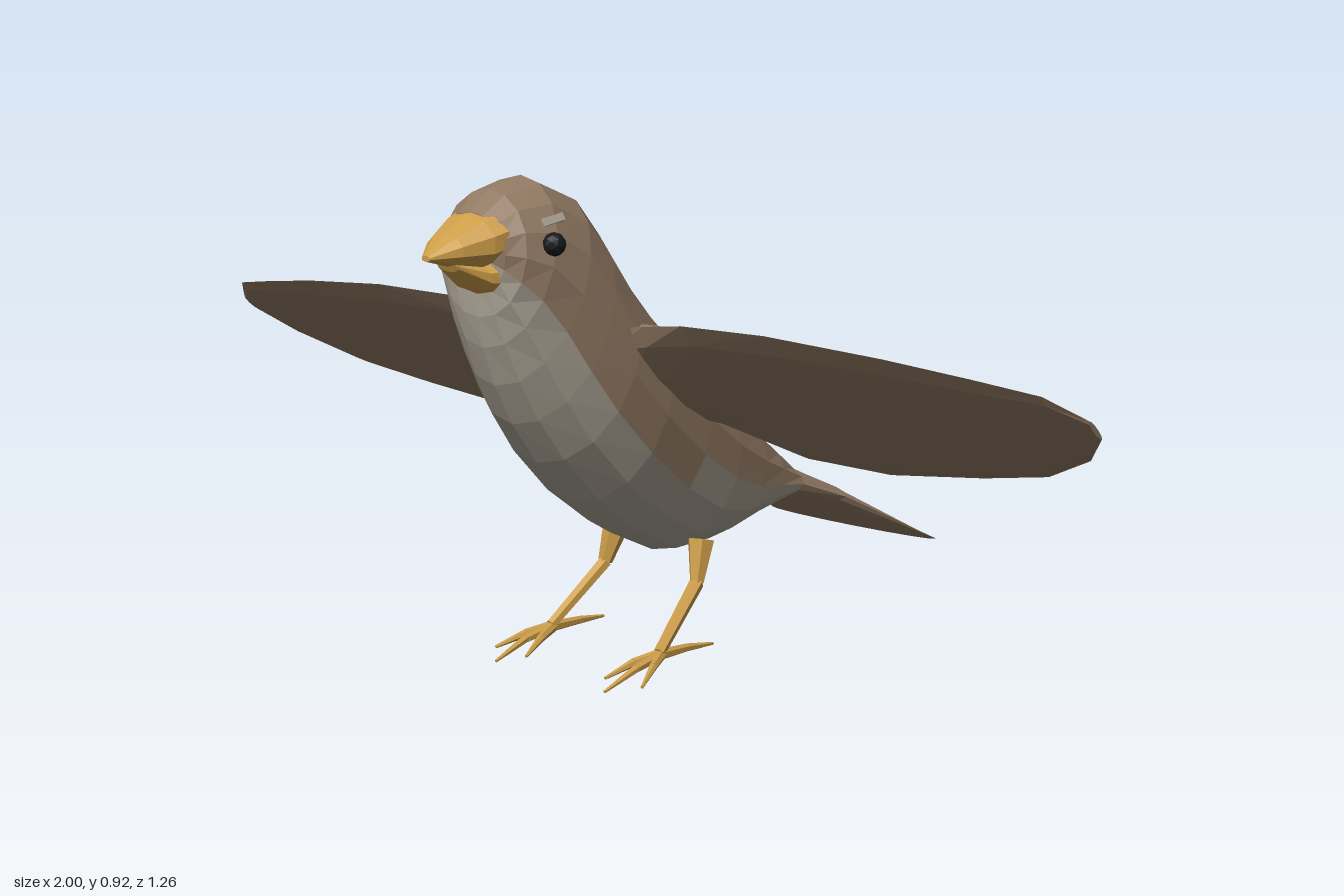
import * as THREE from 'three';

const mat = (name, color) => new THREE.MeshStandardMaterial({ name, color, flatShading: true });

// Closed skin over a list of rings; pick(row, column) chooses the part a face belongs to.
function loft(rings, pick = () => 0) {
  const parts = [];
  const n = rings[0].length;
  let volume = 0;
  const tri = (k, a, b, c) => {
    (parts[k] ??= []).push([a, b, c]);
    volume += a.dot(b.clone().cross(c));
  };
  for (let i = 0; i < rings.length - 1; i++) {
    for (let j = 0; j < n; j++) {
      const j2 = (j + 1) % n, k = pick(i, j);
      tri(k, rings[i][j], rings[i + 1][j], rings[i + 1][j2]);
      tri(k, rings[i][j], rings[i + 1][j2], rings[i][j2]);
    }
  }
  const cap = (ring, row, flip) => {
    const c = new THREE.Vector3();
    ring.forEach((p) => c.addScaledVector(p, 1 / n));
    for (let j = 0; j < n; j++) {
      const a = ring[j], b = ring[(j + 1) % n];
      flip ? tri(pick(row, j), c, b, a) : tri(pick(row, j), c, a, b);
    }
  };
  cap(rings[0], 0, false);
  cap(rings[rings.length - 1], rings.length - 2, true);
  return parts.map((tris) => {
    const pts = tris.flatMap(([a, b, c]) => (volume < 0 ? [a, c, b] : [a, b, c]));
    const g = new THREE.BufferGeometry().setFromPoints(pts);
    g.computeVertexNormals();
    return g;
  });
}

// Oval ring from a top point and a bottom point on the centre plane; column 0 starts at the bottom.
function oval([tz, ty, bz, by, w], sides) {
  return Array.from({ length: sides }, (_, j) => {
    const a = (j / sides) * Math.PI * 2, f = (1 - Math.cos(a)) / 2;
    return new THREE.Vector3(w * Math.sin(a), by + (ty - by) * f, bz + (tz - bz) * f);
  });
}

// Slanted wing section at distance x, from trailing z to leading z.
function wingRing([x, z0, z1, t], side) {
  const slope = 0.79, len = Math.hypot(1, slope), sides = 10;
  return Array.from({ length: sides }, (_, j) => {
    const a = (j / sides) * Math.PI * 2;
    const z = (z0 + z1) / 2 + ((z1 - z0) / 2) * Math.cos(a);
    const lift = t * Math.sin(a);
    return new THREE.Vector3(side * x, 0.68 - slope * (0.31 - z) + lift / len, z - (lift * slope) / len);
  });
}

export function createModel() {
  const brown = mat('brownFeathers', 0x917963);
  const pale = mat('paleBelly', 0xa9a193);
  const yellow = mat('yellowHorn', 0xcc9d49);
  const black = mat('blackEye', 0x17181c);

  const model = new THREE.Group();
  model.name = 'bird';
  const add = (parent, name, geometry, material) => {
    const m = new THREE.Mesh(geometry, material);
    m.name = name;
    parent.add(m);
    return m;
  };

  // Head, body and tail: top z, top y, bottom z, bottom y, half width
  const body = [
    [0.525, 0.872, 0.512, 0.735, 0.075],
    [0.48, 0.907, 0.51, 0.69, 0.102],
    [0.40, 0.925, 0.498, 0.635, 0.122],
    [0.31, 0.89, 0.472, 0.565, 0.137],
    [0.255, 0.825, 0.43, 0.49, 0.15],
    [0.20, 0.745, 0.37, 0.41, 0.162],
    [0.12, 0.66, 0.28, 0.32, 0.166],
    [0.0, 0.555, 0.17, 0.24, 0.16],
    [-0.1, 0.48, 0.05, 0.182, 0.148],
    [-0.2, 0.405, -0.06, 0.18, 0.13],
    [-0.26, 0.35, -0.17, 0.203, 0.114],
    [-0.32, 0.292, -0.29, 0.226, 0.1],
    [-0.44, 0.232, -0.39, 0.2, 0.128],
    [-0.622, 0.106, -0.628, 0.09, 0.215],
  ];
  const sides = 16;
  const isBelly = (i, j) => {
    const fromBottom = Math.min(j, sides - 1 - j);
    return i < 11 && fromBottom < (i < 7 ? 3 : 4) ? 1 : 0;
  };
  const [back, belly] = loft(body.map((s) => oval(s, sides)), isBelly);
  add(model, 'headBackAndTail', back, brown);
  add(model, 'throatAndBelly', belly, pale);

  // Beak
  const upper = [
    [0.515, 0.874, 0.5, 0.785, 0.08],
    [0.535, 0.868, 0.535, 0.775, 0.072],
    [0.585, 0.84, 0.585, 0.786, 0.045],
    [0.63, 0.808, 0.63, 0.798, 0.01],
  ];
  const lower = [
    [0.49, 0.8, 0.505, 0.728, 0.066],
    [0.53, 0.79, 0.525, 0.737, 0.055],
    [0.585, 0.795, 0.575, 0.775, 0.025],
  ];
  add(model, 'upperBeak', loft(upper.map((s) => oval(s, 10)))[0], yellow);
  add(model, 'lowerBeak', loft(lower.map((s) => oval(s, 10)))[0], yellow);

  // Wing sections: x, trailing z, leading z, half thickness
  const wing = [
    [0.09, 0.05, 0.27, 0.05],
    [0.18, 0.02, 0.29, 0.038],
    [0.28, -0.07, 0.308, 0.022],
    [0.46, -0.076, 0.312, 0.02],
    [0.68, -0.03, 0.292, 0.016],
    [0.83, 0.012, 0.27, 0.013],
    [0.945, 0.085, 0.25, 0.009],
    [1.0, 0.155, 0.2, 0.005],
  ];

  // Tapered bone between two points
  const limb = (parent, name, a, b, r0, r1) => {
    const p = new THREE.Vector3(...a), q = new THREE.Vector3(...b);
    const d = q.clone().sub(p);
    const m = add(parent, name, new THREE.CylinderGeometry(r1, r0, d.length(), 6), yellow);
    m.position.copy(p).add(q).multiplyScalar(0.5);
    m.quaternion.setFromUnitVectors(new THREE.Vector3(0, 1, 0), d.normalize());
  };

  for (const s of [1, -1]) {
    const label = s > 0 ? 'left' : 'right';
    add(model, label + 'Wing', loft(wing.map((w) => wingRing(w, s)))[0], brown);

    // Eye and pale brow
    add(model, label + 'Eye', new THREE.IcosahedronGeometry(0.021, 1), black)
      .position.set(s * 0.116, 0.818, 0.443);
    const brow = add(model, label + 'Brow', new THREE.BoxGeometry(0.008, 0.014, 0.045), pale);
    brow.position.set(s * 0.101, 0.857, 0.43);
    brow.rotation.set(0.2, s * -0.2, s * 0.5);

    // Leg and foot
    const leg = new THREE.Group();
    leg.name = label + 'Leg';
    model.add(leg);
    const knee = [s * 0.115, 0.138, 0.055], ankle = [s * 0.135, 0.038, 0.19];
    limb(leg, 'thigh', [s * 0.105, 0.215, 0.03], knee, 0.027, 0.014);
    limb(leg, 'shank', knee, ankle, 0.014, 0.011);
    const toes = [
      [[0.115, 0.028, 0.24], [0.098, 0.01, 0.30]],
      [[0.138, 0.026, 0.26], [0.135, 0.004, 0.343]],
      [[0.158, 0.028, 0.235], [0.182, 0.01, 0.295]],
      [[0.135, 0.028, 0.11], [0.138, 0.018, 0.035]],
    ];
    for (const [[mx, my, mz], [tx, ty, tz]] of toes) {
      limb(leg, 'toe', [ankle[0], 0.034, 0.185], [s * mx, my, mz], 0.011, 0.008);
      limb(leg, 'claw', [s * mx, my, mz], [s * tx, ty, tz], 0.008, 0.003);
    }
  }
  return model;
}
